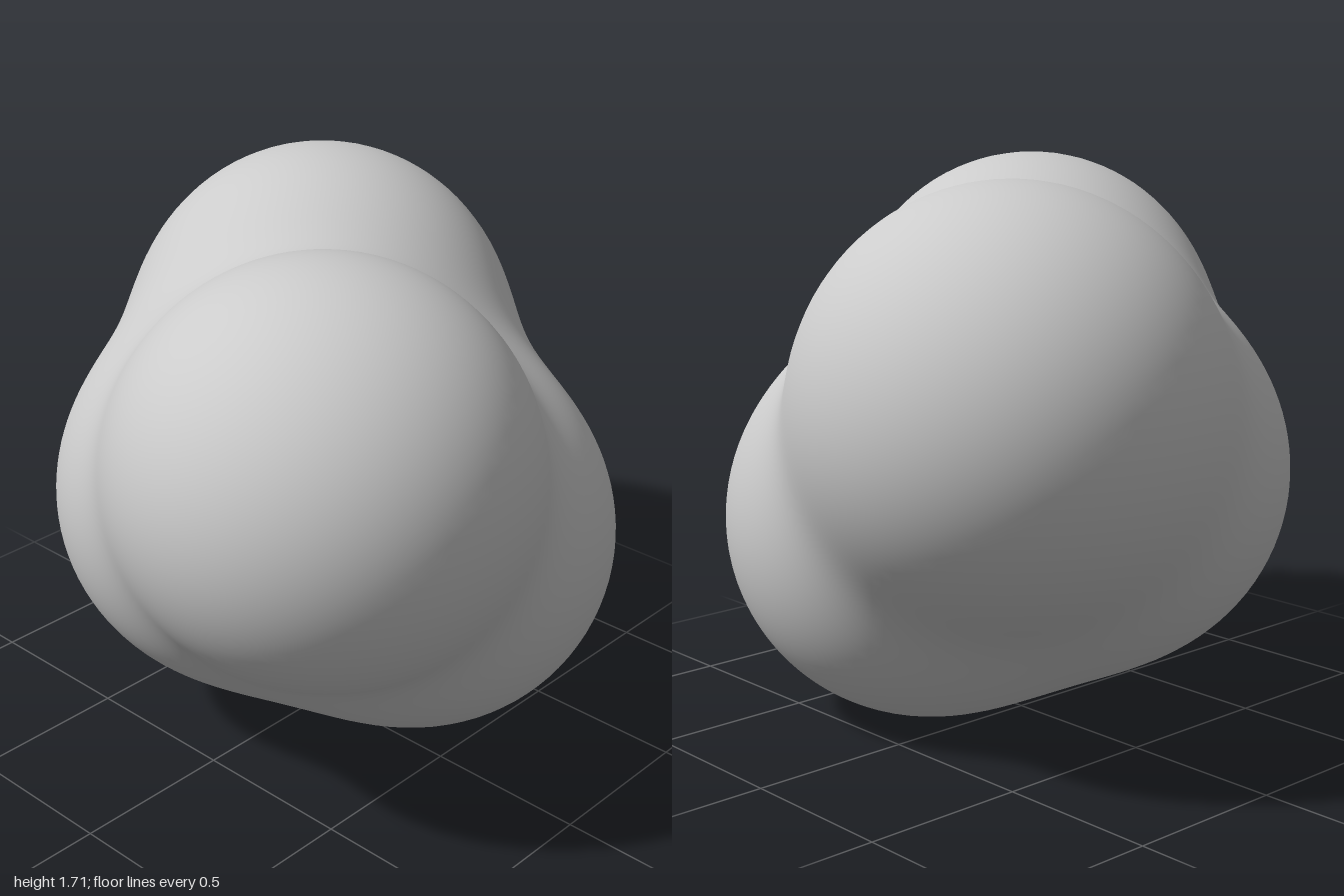
import * as THREE from 'three';

// The four overlapping lobes: centre and radius
const lobes = [
  { c: new THREE.Vector3(-0.4, 1.1, 0.38), r: 0.6 },
  { c: new THREE.Vector3(0.38, 1.07, -0.365), r: 0.61 },
  { c: new THREE.Vector3(0.21, 0.61, 0.21), r: 0.61 },
  { c: new THREE.Vector3(-0.16, 0.76, -0.16), r: 0.59 },
];
const BLEND = 0.11; // softness of the valleys between lobes
const CORE = new THREE.Vector3(0, 0.95, 0); // lies inside every lobe

// Smooth union of the lobes: negative inside, positive outside
function field(p) {
  let sum = 0;
  for (const { c, r } of lobes) sum += Math.exp((r - p.distanceTo(c)) / BLEND);
  return -BLEND * Math.log(sum);
}

// Outward direction of the blended surface
function fieldNormal(p) {
  const n = new THREE.Vector3();
  for (const { c, r } of lobes) {
    const d = p.clone().sub(c);
    const len = d.length();
    n.addScaledVector(d, Math.exp((r - len) / BLEND) / len);
  }
  return n.normalize();
}

// Distance from the core to the surface, found by bisection
function reach(dir) {
  let lo = 0, hi = 2;
  const p = new THREE.Vector3();
  for (let i = 0; i < 22; i++) {
    const mid = (lo + hi) / 2;
    if (field(p.copy(CORE).addScaledVector(dir, mid)) < 0) lo = mid;
    else hi = mid;
  }
  return (lo + hi) / 2;
}

export function createModel() {
  const group = new THREE.Group();
  group.name = 'blob';

  // An even sphere pushed out to the blended surface
  const geometry = new THREE.IcosahedronGeometry(1, 24);
  const pos = geometry.attributes.position;
  const nor = geometry.attributes.normal;
  const dir = new THREE.Vector3();
  for (let i = 0; i < pos.count; i++) {
    dir.fromBufferAttribute(pos, i).normalize();
    const p = CORE.clone().addScaledVector(dir, reach(dir));
    const n = fieldNormal(p);
    pos.setXYZ(i, p.x, p.y, p.z);
    nor.setXYZ(i, n.x, n.y, n.z);
  }

  const surface = new THREE.Mesh(geometry, new THREE.MeshStandardMaterial({ color: 0xcccccc }));
  surface.name = 'lobedSurface';
  group.add(surface);
  return group;
}
